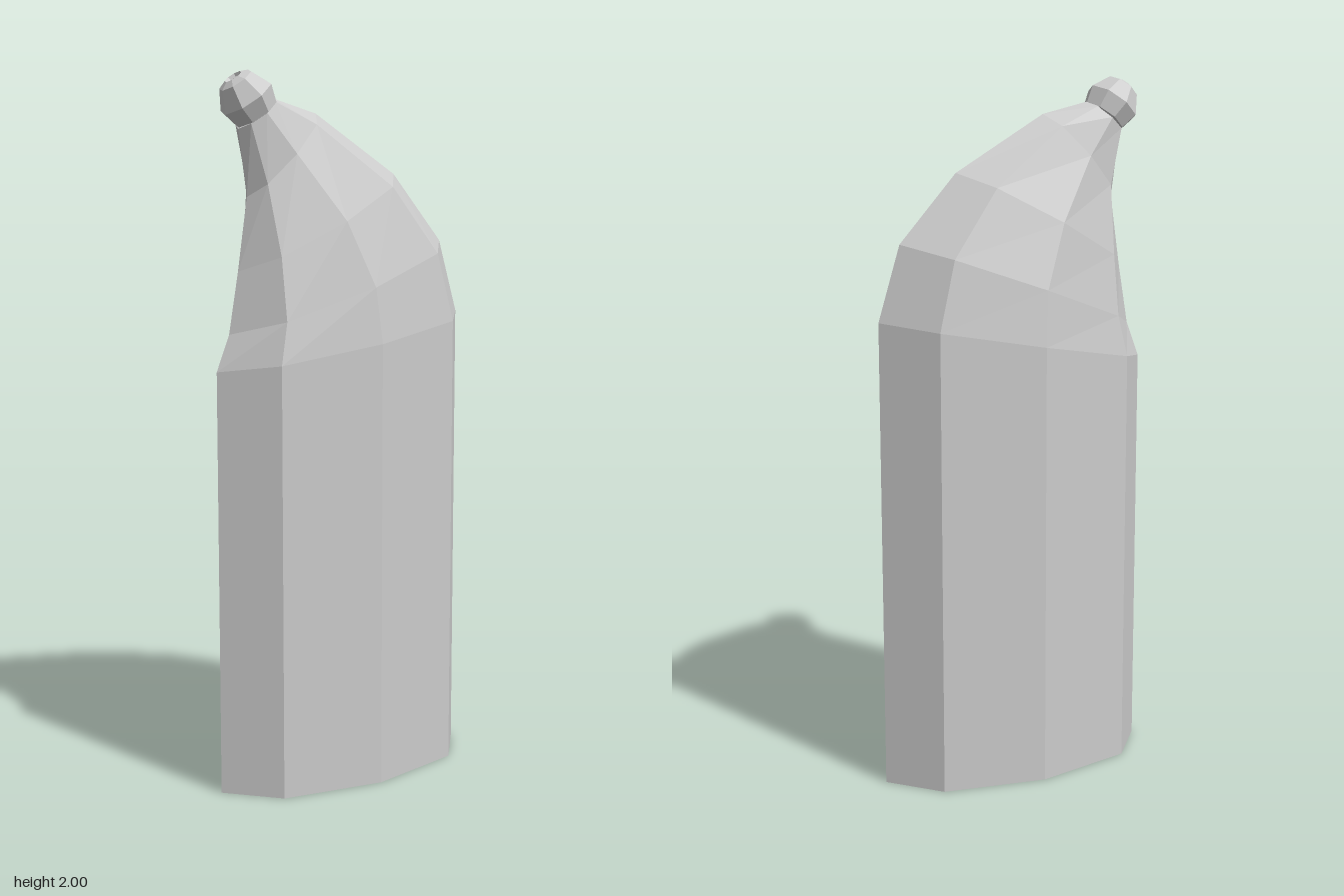
import * as THREE from 'three';

const SIDES = 8;

// Skin eight-sided elliptical rings, each [leftX, leftY, rightX, rightY, halfDepth]
function loft(rings, material, name) {
  const positions = [];
  const index = [];
  for (const [lx, ly, rx, ry, depth] of rings) {
    for (let k = 0; k < SIDES; k++) {
      const a = (k / SIDES) * Math.PI * 2;
      const t = (1 + Math.cos(a)) / 2;
      positions.push(lx + (rx - lx) * t, ly + (ry - ly) * t, depth * Math.sin(a));
    }
  }
  for (let r = 0; r < rings.length - 1; r++) {
    for (let k = 0; k < SIDES; k++) {
      const next = (k + 1) % SIDES;
      const a = r * SIDES + k, d = r * SIDES + next;
      const b = a + SIDES, c = d + SIDES;
      index.push(a, b, d, b, c, d);
    }
  }
  const indexed = new THREE.BufferGeometry();
  indexed.setAttribute('position', new THREE.Float32BufferAttribute(positions, 3));
  indexed.setIndex(index);
  const geometry = indexed.toNonIndexed();
  geometry.computeVertexNormals();
  const mesh = new THREE.Mesh(geometry, material);
  mesh.name = name;
  return mesh;
}

export function createModel() {
  const group = new THREE.Group();
  group.name = 'curvedSpout';
  const material = new THREE.MeshStandardMaterial({
    color: 0xcccccc, flatShading: true, side: THREE.DoubleSide,
  });

  // Open-bottomed sleeve that bends and narrows into the neck
  group.add(loft([
    [-0.415, 0, 0.415, 0, 0.195],
    [-0.415, 1.19, 0.415, 1.33, 0.195],
    [-0.375, 1.29, 0.35, 1.54, 0.18],
    [-0.345, 1.46, 0.18, 1.73, 0.142],
    [-0.315, 1.66, -0.09, 1.89, 0.078],
    [-0.34, 1.84, -0.23, 1.925, 0.057],
  ], material, 'body'));

  // Bead at the end of the neck with a dimpled tip: [distance along axis, radius]
  const profile = [
    [-0.005, 0.05], [0, 0.066], [0.05, 0.08], [0.105, 0.05],
    [0.116, 0.026], [0.108, 0.02], [0.106, 0.011], [0.112, 0],
  ];
  group.add(loft(profile.map(([t, r]) => {
    const x = -0.285 - 0.6 * t, y = 1.883 + 0.8 * t;
    return [x - 0.8 * r, y - 0.6 * r, x + 0.8 * r, y + 0.6 * r, r];
  }), material, 'tipBead'));

  return group;
}
